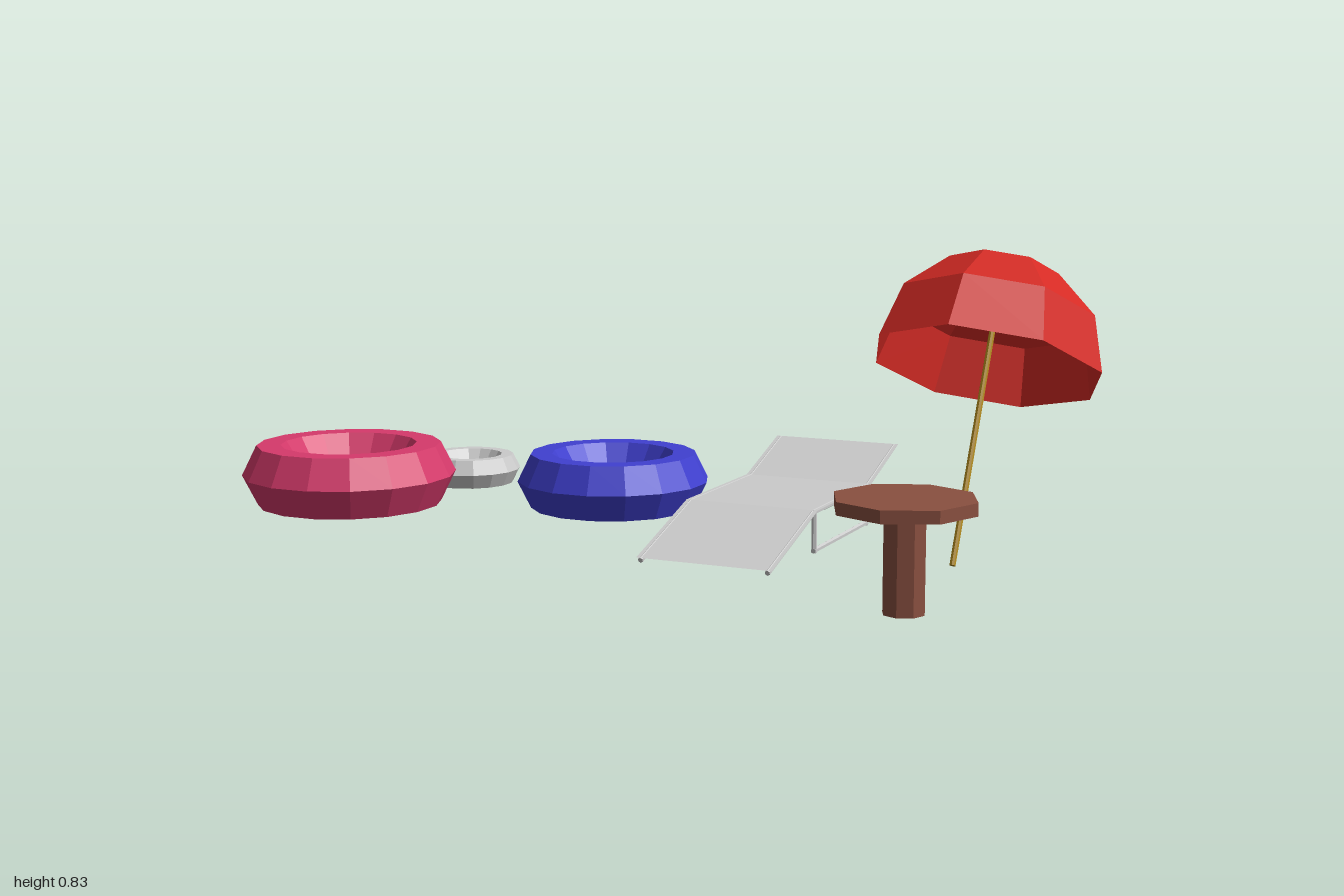
import * as THREE from 'three';

const mat = (color, side = THREE.FrontSide) =>
  new THREE.MeshStandardMaterial({ color, flatShading: true, side });

function addMesh(parent, name, geometry, material, x = 0, y = 0, z = 0) {
  const mesh = new THREE.Mesh(geometry, material);
  mesh.name = name;
  mesh.position.set(x, y, z);
  parent.add(mesh);
  return mesh;
}

// Round bar between two points
function addBar(parent, name, a, b, radius, material) {
  const dir = b.clone().sub(a);
  const bar = addMesh(parent, name, new THREE.CylinderGeometry(radius, radius, dir.length(), 6), material);
  bar.position.copy(a).add(b).multiplyScalar(0.5);
  bar.quaternion.setFromUnitVectors(new THREE.Vector3(0, 1, 0), dir.normalize());
  return bar;
}

// Inflatable ring with a six-sided section
function swimRing(name, color, size, x, y, z) {
  const section = [
    [0.17, -0.075], [0.23, -0.075], [0.267, 0], [0.23, 0.075],
    [0.17, 0.075], [0.122, 0], [0.17, -0.075],
  ].map(([r, h]) => new THREE.Vector2(r * size, h * size));
  const ring = new THREE.Mesh(new THREE.LatheGeometry(section, 16), mat(color));
  ring.name = name;
  ring.position.set(x, y, z);
  ring.rotation.y = Math.PI / 16;
  return ring;
}

function sunLounger() {
  const group = new THREE.Group();
  group.name = 'sunLounger';
  const grey = mat(0xcccccc);
  const profile = [[-0.655, 0.26], [-0.435, 0.185], [-0.037, 0.185], [0.262, 0.092]]; // z, y

  // Fabric bent along the profile
  const cloth = new THREE.PlaneGeometry(0.36, 1, 1, 3);
  const pos = cloth.attributes.position;
  for (let i = 0; i < pos.count; i++) {
    const [z, y] = profile[Math.floor(i / 2)];
    pos.setXYZ(i, pos.getX(i), y + 0.006, z);
  }
  cloth.computeVertexNormals();
  addMesh(group, 'loungerFabric', cloth, mat(0xcccccc, THREE.DoubleSide));

  // Side rails and U-shaped leg frames
  for (const x of [-0.168, 0.168]) {
    const p = (z, y) => new THREE.Vector3(x, y, z);
    for (let i = 0; i < 3; i++)
      addBar(group, 'sideRail', p(...profile[i]), p(...profile[i + 1]), 0.007, grey);
    for (const z of [-0.43, -0.047])
      addBar(group, 'loungerLeg', p(z, 0.08), p(z, 0.185), 0.007, grey);
    addBar(group, 'footRail', p(-0.437, 0.086), p(-0.04, 0.086), 0.007, grey);
  }
  group.position.x = 0.183;
  return group;
}

function sideTable() {
  const group = new THREE.Group();
  group.name = 'sideTable';
  const wood = mat(0x8a5040);
  addMesh(group, 'tableTop', new THREE.CylinderGeometry(0.179, 0.179, 0.032, 8), wood, 0, 0.266, 0);
  addMesh(group, 'tableLeg', new THREE.CylinderGeometry(0.053, 0.053, 0.25, 8), wood, 0, 0.125, 0);
  group.position.set(0.655, 0, 0.15);
  return group;
}

function parasol() {
  const group = new THREE.Group();
  group.name = 'parasol';
  const canopy = addMesh(group, 'canopy',
    new THREE.SphereGeometry(0.303, 8, 3, 0, Math.PI * 2, 0, Math.PI / 2), mat(0xd42a24, THREE.DoubleSide));
  canopy.rotation.y = -0.06;
  addMesh(group, 'pole', new THREE.CylinderGeometry(0.008, 0.008, 0.82, 8), mat(0xb08a1e), 0, -0.115, 0);
  group.position.set(0.695, 0.532, -0.36);
  group.rotation.set(-0.47, 0, -0.01);
  return group;
}

export function createModel() {
  const model = new THREE.Group();
  model.name = 'poolsideSet';
  model.add(
    swimRing('pinkSwimRing', 0xd63a6b, 1, -0.733, 0.277, 0.4),
    swimRing('blueSwimRing', 0x4040d0, 1, -0.37, 0.162, -0.36),
    swimRing('smallSwimRing', 0xcccccc, 0.5, -0.64, 0.226, -0.04),
    sunLounger(),
    sideTable(),
    parasol(),
  );
  return model;
}
